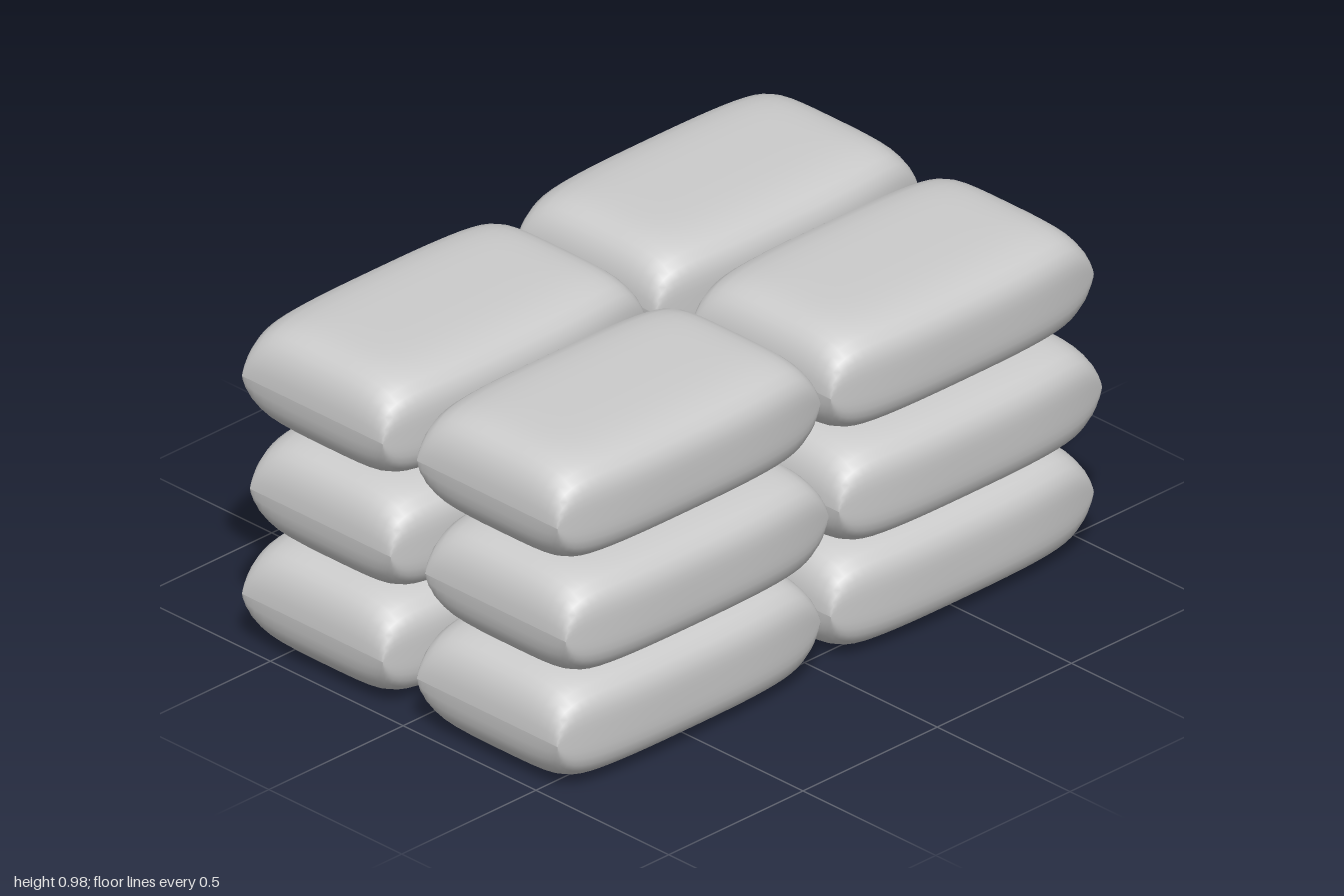
import * as THREE from 'three';

const HALF = { x: 0.49, y: 0.161, z: 0.31 };

// A filled sack: rounded cross-sections lofted along x, pinched to a seam at both ends
function sackGeometry(rows = 32, around = 48) {
  const pos = [], index = [];
  for (let i = 0; i <= rows; i++) {
    const u = Math.sin((i / rows - 0.5) * Math.PI);
    const tall = HALF.y * Math.sqrt(Math.max(0, 1 - Math.pow(Math.abs(u), 10)));
    const wide = HALF.z - 0.045 * Math.pow(Math.abs(u), 3);
    for (let j = 0; j < around; j++) {
      const t = (j / around) * Math.PI * 2;
      const c = Math.cos(t), s = Math.sin(t);
      const r = Math.pow(c ** 4 + s ** 4, -0.25);
      pos.push(HALF.x * u, tall * s * r, wide * c * r);
    }
  }
  for (let i = 0; i < rows; i++) {
    for (let j = 0; j < around; j++) {
      const k = (j + 1) % around;
      const a = i * around + j, b = a + around;
      const d = i * around + k, e = d + around;
      index.push(a, b, d, b, e, d);
    }
  }
  const geo = new THREE.BufferGeometry();
  geo.setAttribute('position', new THREE.Float32BufferAttribute(pos, 3));
  geo.setIndex(index);
  geo.computeVertexNormals();
  return geo;
}

export function createModel() {
  const model = new THREE.Group();
  model.name = 'sackStack';
  const material = new THREE.MeshStandardMaterial({ color: 0xcccccc });
  const geometry = sackGeometry();

  // Three layers of four sacks; the middle layer sits slightly forward
  const layers = [
    { name: 'bottom', y: 0.167, z: [0.315, -0.343] },
    { name: 'middle', y: 0.496, z: [0.346, -0.313] },
    { name: 'top', y: 0.825, z: [0.315, -0.343] },
  ];
  for (const layer of layers) {
    const group = new THREE.Group();
    group.name = layer.name + 'Layer';
    layer.z.forEach((z, row) => {
      for (const side of [1, -1]) {
        const sack = new THREE.Mesh(geometry, material);
        sack.name = (row ? 'back' : 'front') + (side > 0 ? 'Left' : 'Right') + 'Sack';
        sack.position.set(side * 0.509, layer.y, z);
        group.add(sack);
      }
    });
    model.add(group);
  }
  return model;
}
